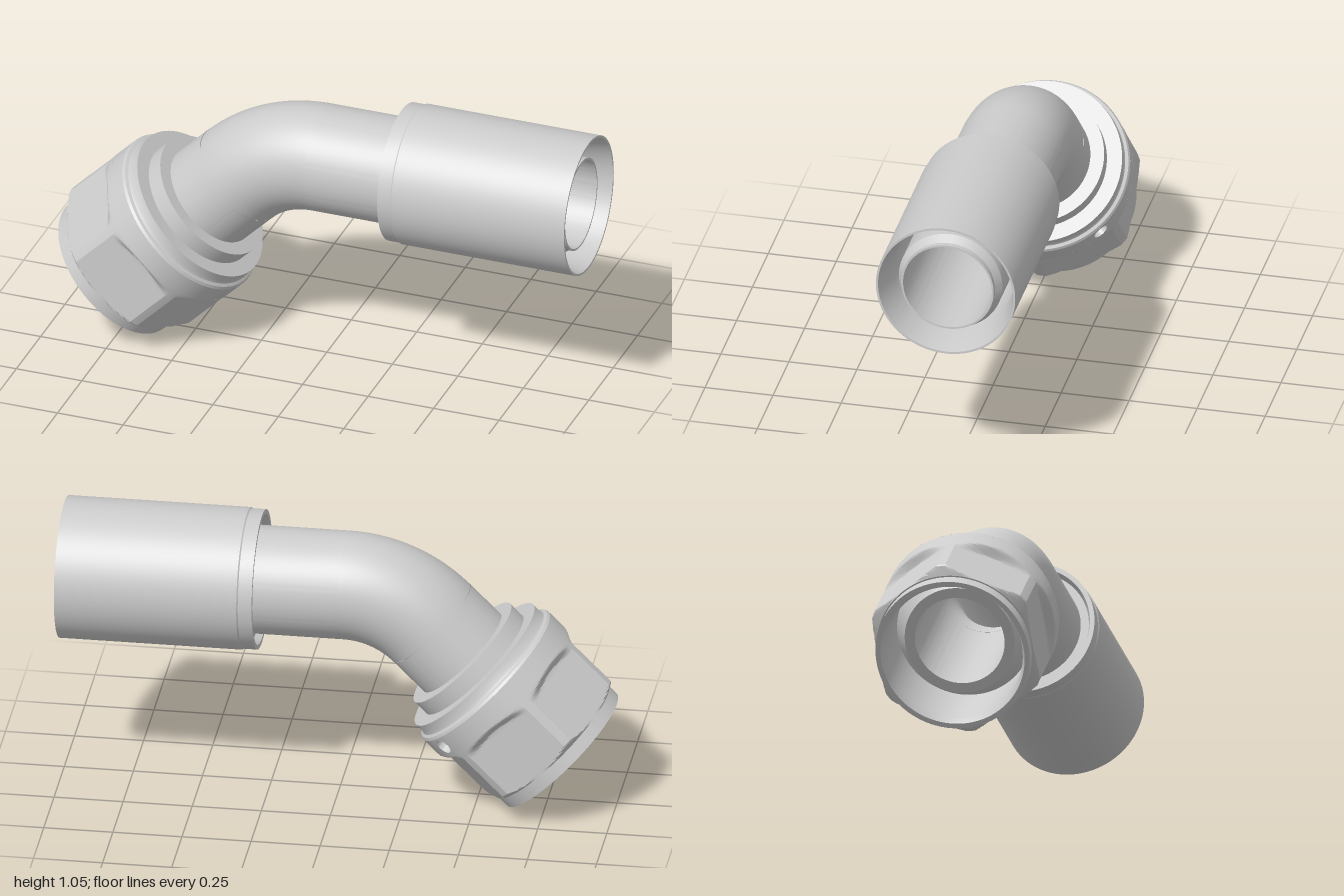
import * as THREE from 'three';
import { toCreasedNormals } from 'three/addons/utils/BufferGeometryUtils.js';

const material = new THREE.MeshStandardMaterial({ color: 0xcccccc, side: THREE.DoubleSide });
const SEGMENTS = 120;
const BORE = 0.163, TUBE = 0.195, BEND = 0.435, NUT = 0.32;
const AXIS_Y = 0.8, BEND_X = -0.02;

function part(name, geometry) {
  const mesh = new THREE.Mesh(toCreasedNormals(geometry, 0.4), material);
  mesh.name = name;
  return mesh;
}

// Turned part: points are [radius, distance along axis]
function turned(points, start = 0, length = Math.PI * 2) {
  return new THREE.LatheGeometry(points.map(([r, s]) => new THREE.Vector2(r, s)), SEGMENTS, start, length);
}

// Nut body: hexagon with chamfered lower corners, blending into a round collar
function hexBody() {
  const points = [[0.25, 0.449], [0.25, 0.03], [0.262, 0], [0.28, 0], [0.28, 0.05]];
  const rows = 40;
  for (let i = 0; i <= rows; i++) points.push([NUT, 0.05 + (0.26 * i) / rows]);
  const geometry = turned(points);
  const pos = geometry.attributes.position;
  const sixth = Math.PI / 3;
  for (let i = 0; i < pos.count; i++) {
    const x = pos.getX(i), s = pos.getY(i), z = pos.getZ(i);
    const r = Math.hypot(x, z);
    if (r < 0.3) continue;
    const angle = Math.atan2(x, z) + Math.PI * 2;
    const off = ((angle + sixth / 2) % sixth) - sixth / 2;
    const hex = Math.min(NUT, 0.285 / Math.cos(off), 0.285 + (s - 0.05) * 1.6);
    const blendStart = 0.255 + 0.025 * Math.cos(3 * off);
    const t = THREE.MathUtils.smoothstep(s, blendStart, blendStart + 0.03);
    const k = THREE.MathUtils.lerp(hex, NUT, t) / r;
    pos.setXYZ(i, x * k, s, z * k);
  }
  return geometry;
}

// Square piece of the collar wall with a round blind hole in it
function holePatch(phi, s, half, radius) {
  const n = 32, positions = [], index = [];
  for (let j = 0; j < 5; j++) {
    for (let i = 0; i <= n; i++) {
      const a = (i / n) * Math.PI * 2, c = Math.cos(a), d = Math.sin(a);
      const edge = half / Math.max(Math.abs(c), Math.abs(d));
      const size = [0, radius, radius, (radius + edge) / 2, edge][j];
      const depth = j < 2 ? 0.27 : NUT;
      const angle = phi + (c * size) / NUT;
      positions.push(depth * Math.sin(angle), s + d * size, depth * Math.cos(angle));
      if (j < 4 && i < n) {
        const p = j * (n + 1) + i, q = p + n + 1;
        index.push(p, q, q + 1, p, q + 1, p + 1);
      }
    }
  }
  const geometry = new THREE.BufferGeometry();
  geometry.setAttribute('position', new THREE.Float32BufferAttribute(positions, 3));
  geometry.setIndex(index);
  return geometry;
}

export function createModel() {
  const model = new THREE.Group();
  model.name = 'elbowHoseFitting';

  // Swivel end, built along y and tilted 45 degrees
  const swivel = new THREE.Group();
  swivel.name = 'swivelEnd';
  swivel.position.set(-0.802, 0.199, 0);
  swivel.rotation.z = -Math.PI / 4;
  model.add(swivel);

  const holeAngle = 2.44, half = 0.04, middle = 0.35;
  swivel.add(part('hexNut', hexBody()));
  swivel.add(part('nutCollar', turned([[NUT, middle - half], [NUT, middle + half]],
    holeAngle + half / NUT, Math.PI * 2 - (2 * half) / NUT)));
  swivel.add(part('nutWeepHole', holePatch(holeAngle, middle, half, 0.03)));
  swivel.add(part('nutShoulder', turned([
    [NUT, 0.39], [0.315, 0.4], [0.304, 0.405], [0.3, 0.415], [0.3, 0.449], [0.24, 0.449],
  ])));

  // Tube head inside the nut, with its stop ring and straight leg
  swivel.add(part('tubeHead', turned([
    [BORE, 0.668], [BORE, 0.15], [0.2, 0.15], [0.245, 0.25], [0.245, 0.511], [TUBE, 0.511], [TUBE, 0.668],
  ])));

  // 45 degree bend, outer and inner walls
  for (const [name, r] of [['bendOuter', TUBE], ['bendBore', BORE]]) {
    const bend = part(name, new THREE.TorusGeometry(BEND, r, 80, 40, Math.PI / 4));
    bend.position.set(BEND_X, AXIS_Y - BEND, 0);
    bend.rotation.z = Math.PI / 2;
    model.add(bend);
  }

  // Hose end, built along y and laid along x
  const hoseEnd = new THREE.Group();
  hoseEnd.name = 'hoseEnd';
  hoseEnd.position.y = AXIS_Y;
  hoseEnd.rotation.z = -Math.PI / 2;
  model.add(hoseEnd);

  hoseEnd.add(part('straightTube', turned([[TUBE, BEND_X], [TUBE, 0.36]])));
  hoseEnd.add(part('hoseNipple', turned([
    [0.19, 0.36], [0.19, 0.92], [0.17, 0.95], [0.17, 0.97], [BORE, 0.97], [BORE, BEND_X],
  ])));
  hoseEnd.add(part('crimpSleeve', turned([
    [TUBE, 0.31], [0.225, 0.31], [0.235, 0.285], [0.252, 0.285], [0.252, 0.335], [0.256, 0.34],
    [0.256, 1], [0.248, 1], [0.222, 0.87], [0.222, 0.4], [0.19, 0.4],
  ])));

  return model;
}
